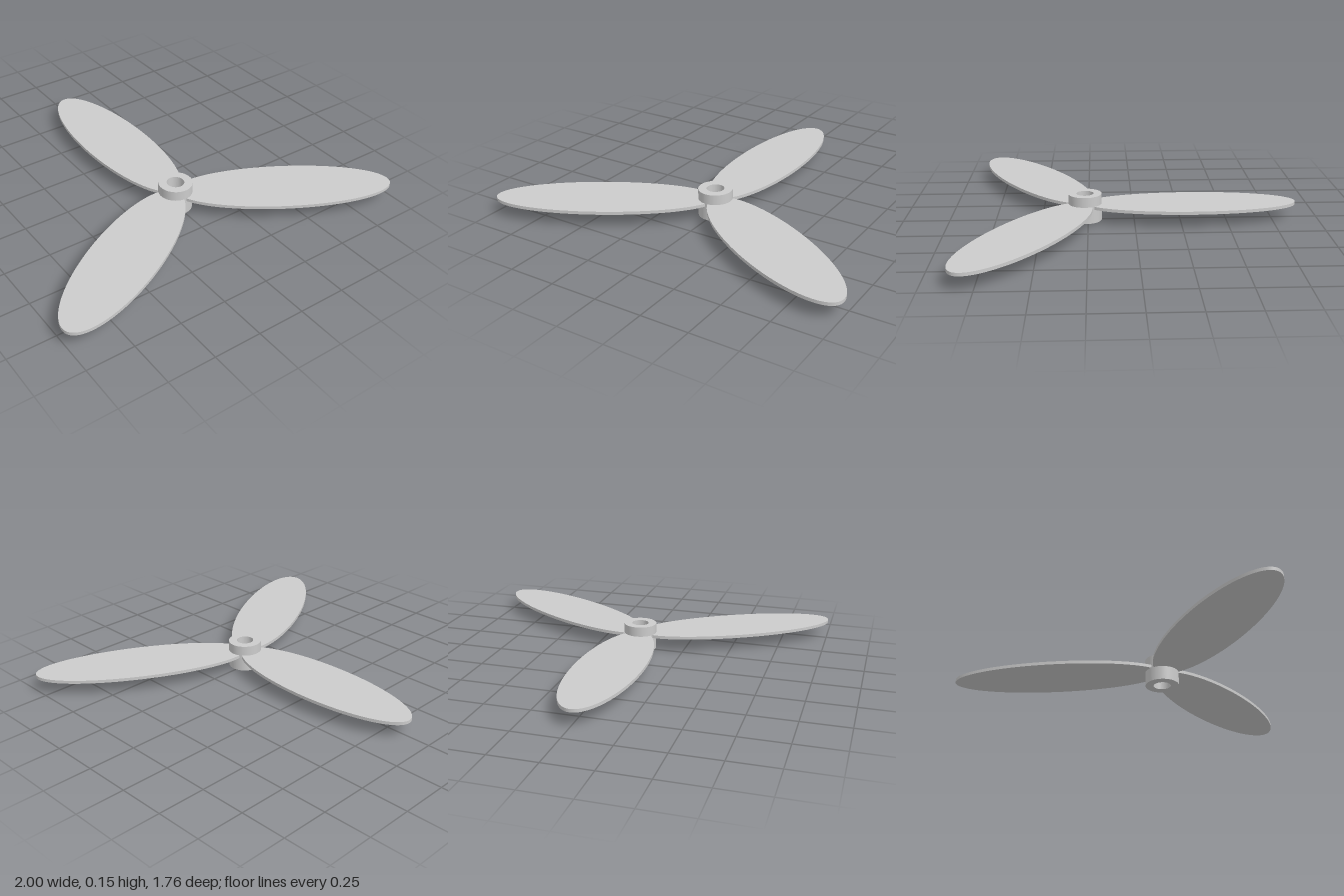
import * as THREE from 'three';

const HUB_Z = 0.266, HUB_R = 0.09, BORE_R = 0.046, HUB_H = 0.146;
const BLADE_Y = 0.075, BLADE_T = 0.017, HALF_LENGTH = 0.5725, HALF_WIDTH = 0.18;
const ROOT = 0.047; // the blade is cut off inside the hub wall, clear of the bore

export function createModel() {
  const material = new THREE.MeshStandardMaterial({ color: 0xcccccc });
  const propeller = new THREE.Group();
  propeller.name = 'propeller';
  propeller.position.z = HUB_Z;

  // Hub: a tube with a through bore
  const ring = new THREE.Shape().absarc(0, 0, HUB_R, 0, Math.PI * 2, false);
  ring.holes.push(new THREE.Path().absarc(0, 0, BORE_R, 0, Math.PI * 2, true));
  const hubGeometry = new THREE.ExtrudeGeometry(ring, { depth: HUB_H, bevelEnabled: false, curveSegments: 48 });
  hubGeometry.rotateX(-Math.PI / 2);
  const hub = new THREE.Mesh(hubGeometry, material);
  hub.name = 'hub';
  propeller.add(hub);

  // Blade: a flat ellipse running outward from the hub axis, with its root trimmed
  const trim = Math.acos((ROOT - HALF_LENGTH) / HALF_LENGTH);
  const outline = new THREE.Shape().absellipse(HALF_LENGTH, 0, HALF_LENGTH, HALF_WIDTH, -trim, trim, false);
  const bladeGeometry = new THREE.ExtrudeGeometry(outline, { depth: BLADE_T, bevelEnabled: false, curveSegments: 96 });
  bladeGeometry.rotateX(-Math.PI / 2);

  // Three blades, the first pointing to the back
  for (let i = 0; i < 3; i++) {
    const blade = new THREE.Mesh(bladeGeometry, material);
    blade.name = `blade${i + 1}`;
    blade.position.y = BLADE_Y;
    blade.rotation.y = Math.PI / 2 + (i * Math.PI * 2) / 3;
    propeller.add(blade);
  }

  const model = new THREE.Group();
  model.add(propeller);
  return model;
}
